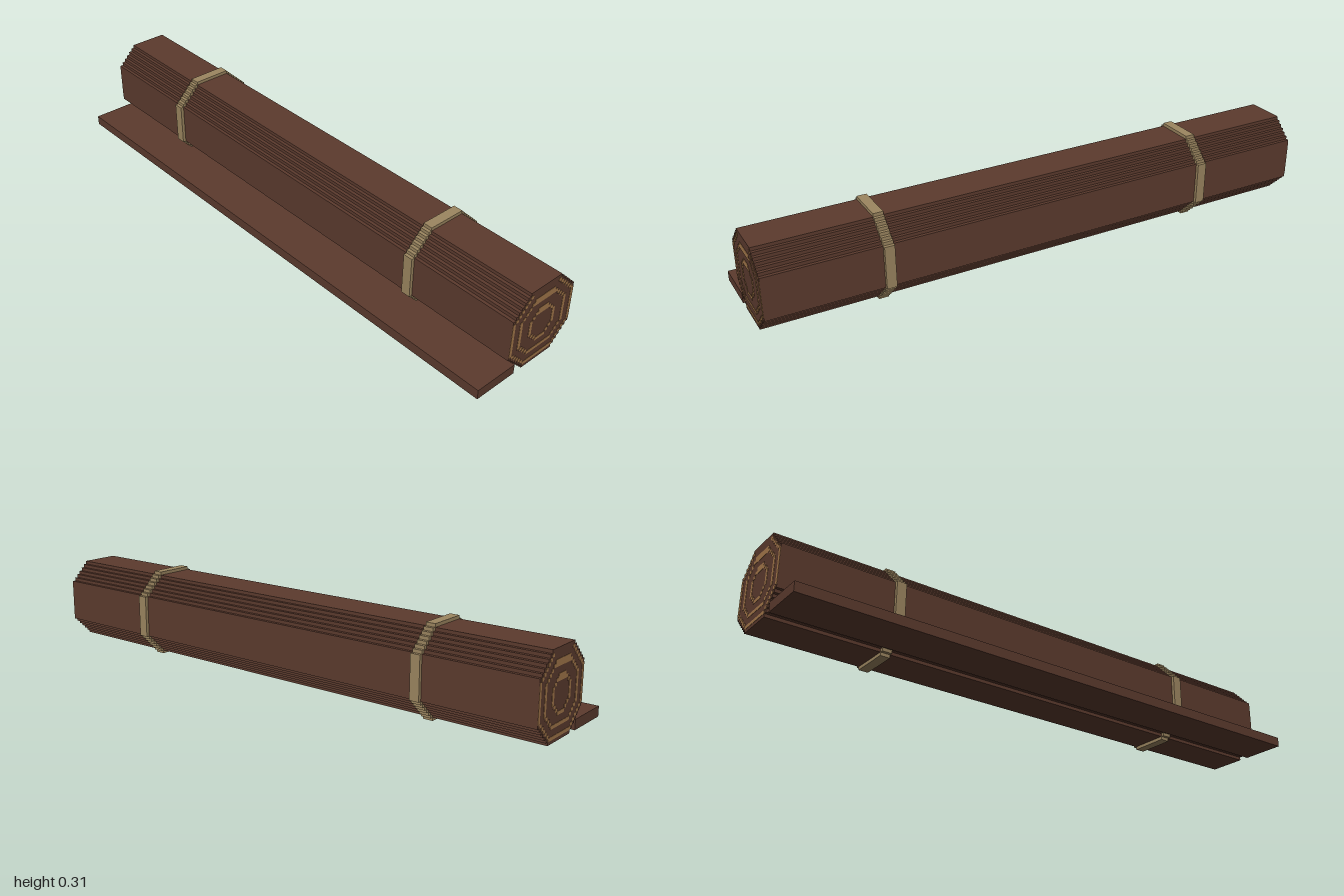
import * as THREE from 'three';
import { mergeGeometries } from 'three/addons/utils/BufferGeometryUtils.js';

// Block grid: columns run from front to back, rows run up
const U = 2 / 175;
const PLATE = 0.001;
const zAt = (col) => (18 - col) * U;

function mat(name, color) {
  const m = new THREE.MeshStandardMaterial({ color });
  m.name = name;
  return m;
}

// Octagon with staircase corners of n steps, extruded along x
function steppedLog(c0, c1, r0, r1, n, x0, x1) {
  const right = [];
  for (let i = 0; i < n; i++) right.push([c1 - n + i, r0 + i], [c1 - n + i, r0 + i + 1]);
  right.push([c1, r0 + n], [c1, r1 - n]);
  for (let i = 0; i < n; i++) right.push([c1 - i - 1, r1 - n + i], [c1 - i - 1, r1 - n + i + 1]);
  const left = right.map(([c, r]) => [c0 + c1 - c, r]).reverse();
  const shape = new THREE.Shape(
    [...right, ...left].map(([c, r]) => new THREE.Vector2((c - 18) * U, r * U))
  );
  const g = new THREE.ExtrudeGeometry(shape, { depth: x1 - x0, bevelEnabled: false });
  return g.rotateY(Math.PI / 2).translate(x0, 0, 0);
}

// Box spanning grid columns and rows
function block(c0, c1, r0, r1, x0, x1) {
  return new THREE.BoxGeometry(x1 - x0, (r1 - r0) * U, (c1 - c0) * U)
    .translate((x0 + x1) / 2, ((r0 + r1) / 2) * U, zAt((c0 + c1) / 2));
}

// One blocky growth ring as a thin plate on the end of the roll
function ringPlate({ side, low, high, bottom, top, full }, end) {
  const x0 = end > 0 ? 1 - PLATE : -1;
  const parts = [];
  for (let r = low; r <= high; r++) {
    const a = Math.max(side, bottom - r, r - top);
    const b = 46 - a;
    if (full.includes(r)) parts.push(block(a, b, r, r + 1, x0, x0 + PLATE));
    else parts.push(block(a, a + 1, r, r + 1, x0, x0 + PLATE),
      block(b - 1, b, r, r + 1, x0, x0 + PLATE));
  }
  return mergeGeometries(parts);
}

export function createModel() {
  const group = new THREE.Group();
  group.name = 'rolledMat';
  const brown = mat('darkBrown', 0x5c3b2e);
  const light = mat('lightBrown', 0xa3774a);
  const tan = mat('ropeTan', 0x9c8660);
  const add = (name, geometry, material) => {
    const mesh = new THREE.Mesh(geometry, material);
    mesh.name = name;
    group.add(mesh);
  };

  // Main roll and the loose flap lying in front of it
  add('roll', steppedLog(11, 35, 1, 26, 6, -1 + PLATE, 1 - PLATE), brown);
  add('flap', block(0, 14, 1, 4, -1, 1), brown);

  // Two ties around the roll
  for (const s of [-1, 1]) {
    const x = s * 52 * U;
    add(s > 0 ? 'leftTie' : 'rightTie', steppedLog(10, 36, 0, 27, 7, x - 1.5 * U, x + 1.5 * U), tan);
  }

  // Spiral layers seen on both ends; the outer one is open at the top
  const rings = [
    { side: 11, low: 2, high: 24, bottom: 19, top: 7, full: [2] },
    { side: 14, low: 5, high: 22, bottom: 23, top: 3, full: [5, 21, 22] },
    { side: 18, low: 8, high: 18, bottom: 29, top: -3, full: [8, 17, 18] },
  ];
  for (const end of [-1, 1]) {
    rings.forEach((ring, i) =>
      add(`${end > 0 ? 'left' : 'right'}EndRing${i + 1}`, ringPlate(ring, end), light));
  }
  return group;
}
